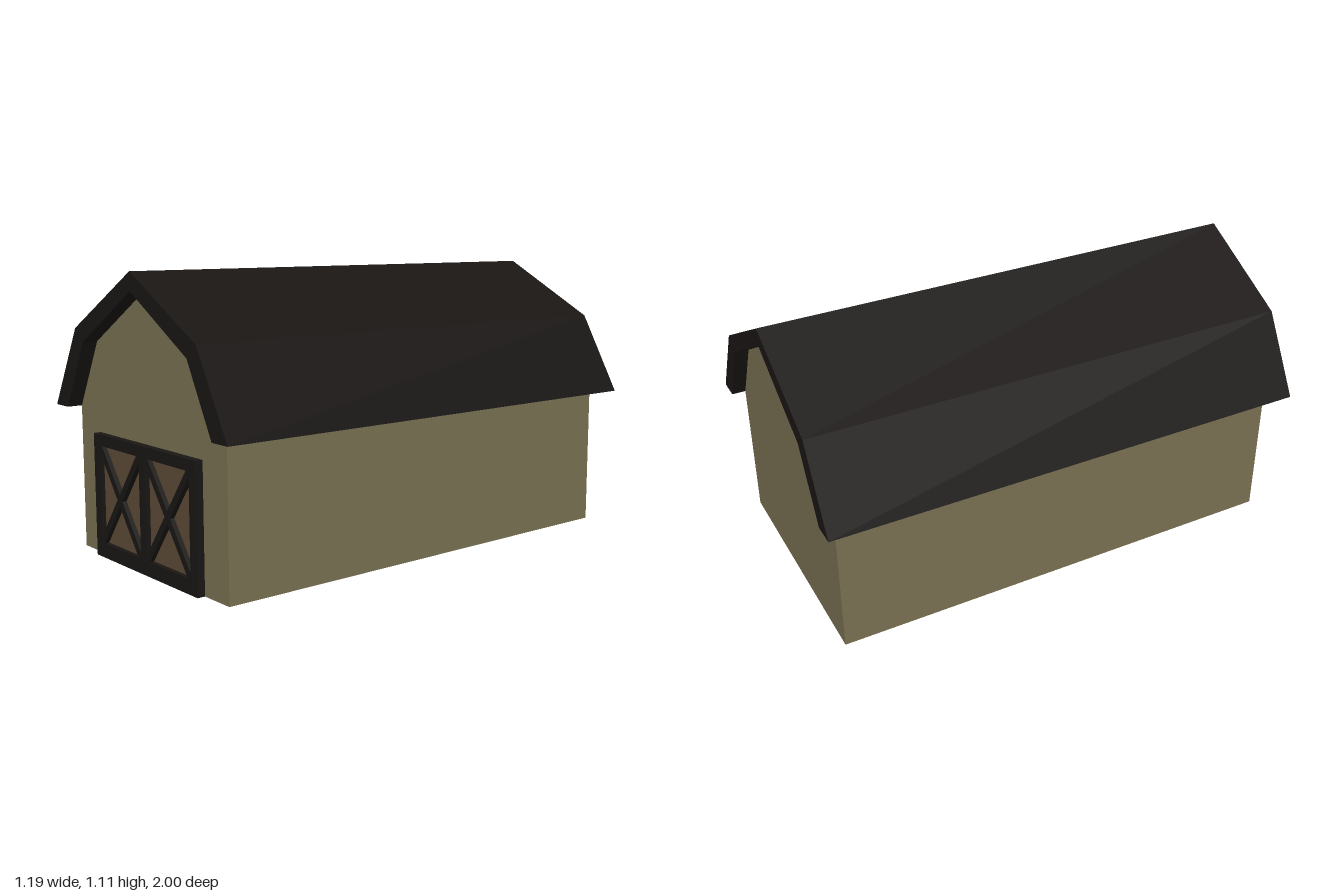
import * as THREE from 'three';

const paint = (color) => new THREE.MeshStandardMaterial({ color, flatShading: true });
const polygon = (points) => points.map(([x, y]) => new THREE.Vector2(x, y));
const mirrorX = (points) => points.map(([x, y]) => [-x, y]).reverse();

// Extrudes a front-facing shape between two z positions
function slab(name, shape, back, front, material) {
  const geometry = new THREE.ExtrudeGeometry(shape, { depth: front - back, bevelEnabled: false });
  geometry.translate(0, 0, back);
  const mesh = new THREE.Mesh(geometry, material);
  mesh.name = name;
  return mesh;
}

export function createModel() {
  const barn = new THREE.Group();
  barn.name = 'barn';
  const wallPaint = paint(0x787052);
  const trimPaint = paint(0x191614);
  const panelPaint = paint(0x5c4a35);

  // Gambrel profiles, from the right eave of the plan to the ridge
  const outer = [[0.595, 0.567], [0.42, 0.88]];
  const inner = [[0.503, 0.567], [0.362, 0.83]];
  const innerArch = [...inner, [0, 1.037], ...mirrorX(inner)];
  const outerArch = [...outer, [0, 1.107], ...mirrorX(outer)];

  // Solid body with gable ends
  const body = new THREE.Shape(polygon([[-0.503, 0], [0.503, 0], ...innerArch]));
  barn.add(slab('walls', body, -0.945, 0.94, wallPaint));

  // Thick roof overhanging both gables
  const roof = new THREE.Shape(polygon([...outerArch, ...innerArch.slice().reverse()]));
  barn.add(slab('roof', roof, -1, 1, trimPaint));

  // Door frame: each leaf has four triangular openings that leave an X brace
  const doors = new THREE.Group();
  doors.name = 'doubleDoor';
  const frame = new THREE.Shape(polygon([[-0.355, 0], [0.355, 0], [0.355, 0.48], [-0.355, 0.48]]));
  const w = 0.145, h = 0.19, cy = 0.247;
  const dx = 0.018, dy = dx * h / w;
  for (const side of [-1, 1]) {
    const cx = side * 0.167;
    for (const s of [-1, 1]) {
      frame.holes.push(
        new THREE.Path(polygon([[cx - w + dx, cy + s * h], [cx + w - dx, cy + s * h], [cx, cy + s * dy]])),
        new THREE.Path(polygon([[cx + s * w, cy - h + dy], [cx + s * w, cy + h - dy], [cx + s * dx, cy]])),
      );
    }

    // Recessed timber panel behind the brace
    const panel = new THREE.Mesh(new THREE.BoxGeometry(2 * w + 0.01, 2 * h + 0.01, 0.02), panelPaint);
    panel.position.set(cx, cy, 0.942);
    panel.name = side < 0 ? 'rightDoorPanel' : 'leftDoorPanel';
    doors.add(panel);
  }
  doors.add(slab('doorFrame', frame, 0.935, 0.97, trimPaint));
  barn.add(doors);

  return barn;
}
